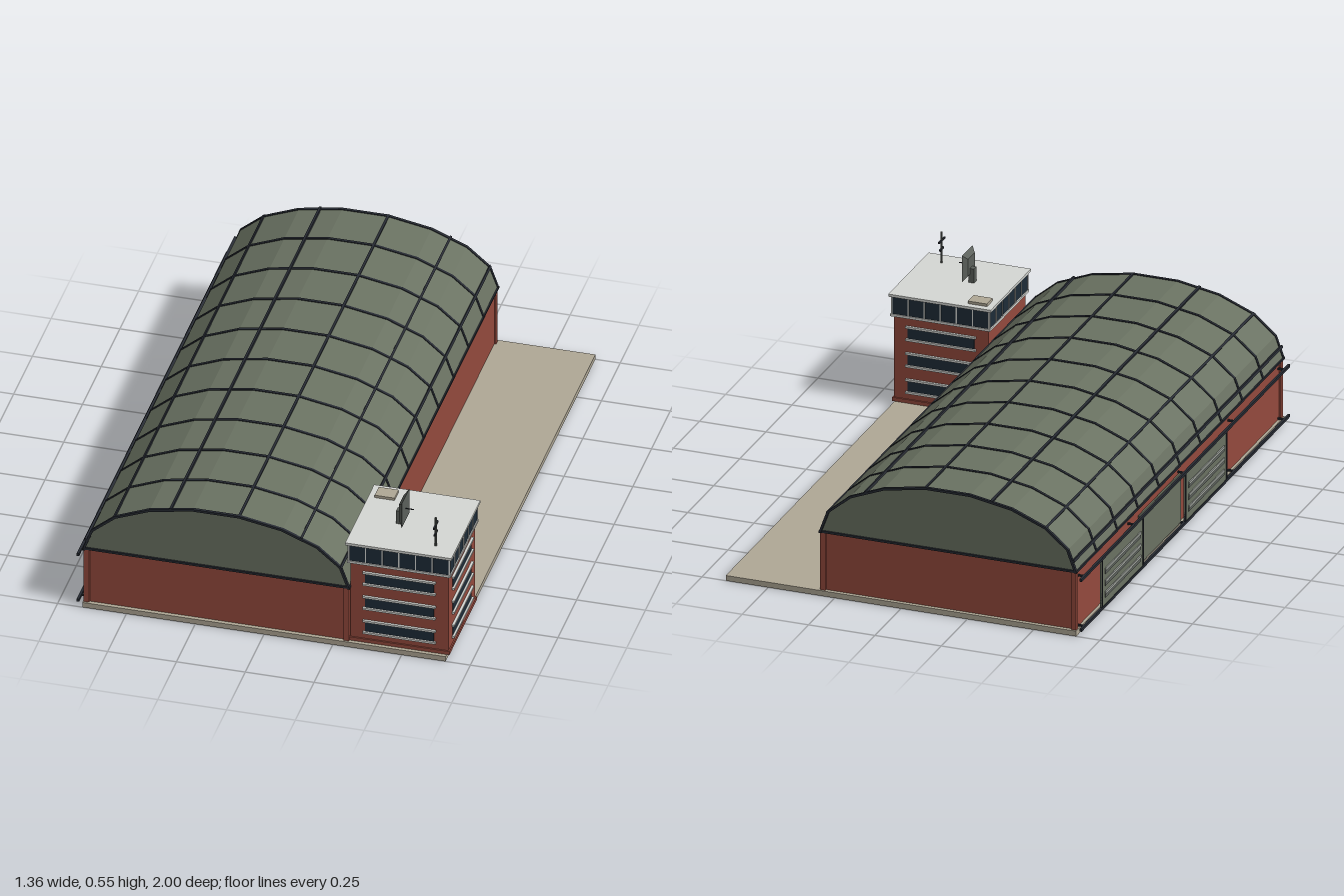
import * as THREE from 'three';

const paint = (name, color) => {
  const m = new THREE.MeshStandardMaterial({ color });
  m.name = name;
  return m;
};

export function createModel() {
  const brick = paint('red brick', 0x944a3d);
  const green = paint('green roofing', 0x6a7262);
  const dark = paint('dark frame', 0x262a32);
  const glass = paint('dark glass', 0x1e2c38);
  const concrete = paint('concrete', 0xb0a896);
  const white = paint('pale trim', 0xd6d8d4);
  const steel = paint('steel', 0x5c615c);
  const lightSteel = paint('light steel', 0x9a9e98);

  const model = new THREE.Group();
  model.name = 'hangar';

  const group = (name, parent = model) => {
    const g = new THREE.Group();
    g.name = name;
    parent.add(g);
    return g;
  };
  const add = (name, geo, mat, parent) => {
    const m = new THREE.Mesh(geo, mat);
    m.name = name;
    parent.add(m);
    return m;
  };
  // Box given by its limits on each axis
  const box = (name, [x0, x1], [y0, y1], [z0, z1], mat, parent) => {
    const m = add(name, new THREE.BoxGeometry(x1 - x0, y1 - y0, z1 - z0), mat, parent);
    m.position.set((x0 + x1) / 2, (y0 + y1) / 2, (z0 + z1) / 2);
    return m;
  };

  box('groundSlab', [-0.66, 0.66], [0, 0.02], [-1, 1], concrete, model);

  // Hall walls with corner pilasters
  const hall = group('hall');
  const CX = -0.175, EAVE = 0.245, A = 0.482, B = 0.234;
  box('hallWalls', [-0.65, 0.3], [0.02, EAVE], [-0.985, 0.985], brick, hall);
  for (const s of [-1, 1]) {
    for (const x of [-0.647, 0.297]) {
      box('cornerPilaster', [x - 0.01, x + 0.01], [0.02, EAVE], [s * 0.983 - 0.01, s * 0.983 + 0.01], brick, hall);
    }
  }

  // Arched roof: nine flat facets on a half ellipse
  const arc = (t, grow = 0) => new THREE.Vector2(
    CX + (A + grow) * Math.cos(t), EAVE + (B + grow) * Math.sin(t));
  const arch = (grow) => Array.from({ length: 10 }, (_, i) => arc((i * Math.PI) / 9, grow));
  const extrude = (shape, depth) => new THREE.ExtrudeGeometry(shape, { depth, bevelEnabled: false });
  add('archedRoof', extrude(new THREE.Shape(arch(0)), 1.98), green, hall).position.z = -0.99;

  // Ribs across the roof
  const ribShape = new THREE.Shape([...arch(0.003), ...arch(-0.006).reverse()]);
  for (let i = 0; i <= 10; i++) {
    const z = Math.max(-0.994, Math.min(0.994, -1 + i * 0.2));
    add('roofRib', extrude(ribShape, 0.011), dark, hall).position.z = z - 0.0055;
  }
  // Purlins along the roof
  for (let deg = 20; deg <= 170; deg += 30) {
    const t = THREE.MathUtils.degToRad(deg);
    const p = arc(t, -0.001);
    const m = add('roofPurlin', new THREE.BoxGeometry(0.009, 0.009, 2), dark, hall);
    m.position.set(p.x, p.y, 0);
    m.rotation.z = Math.atan2(A * Math.sin(t), B * Math.cos(t));
  }
  // Eaves and gable sills
  for (const x of [-0.656, 0.306]) {
    box('eaveTrim', [x - 0.005, x + 0.005], [0.24, 0.248], [-1, 1], dark, hall);
  }
  for (const z of [-0.991, 0.991]) {
    box('gableSill', [-0.656, 0.306], [0.24, 0.248], [z - 0.005, z + 0.005], dark, hall);
  }

  // Sliding doors and their rails on the -x side
  const doors = group('slidingDoors');
  for (const y of [0.026, 0.217]) {
    box('doorRail', [-0.681, -0.672], [y - 0.005, y + 0.005], [-1, 1], dark, doors);
    for (let z = -0.96; z < 1; z += 0.48) {
      box('railBracket', [-0.673, -0.65], [y - 0.003, y + 0.003], [z - 0.004, z + 0.004], dark, doors);
    }
  }
  [-0.6, -0.2, 0.2].forEach((z, i) => {
    const outer = i !== 1;
    const x = outer ? -0.675 : -0.66;
    box('doorPanel', [x - 0.003, x + 0.003], [0.028, 0.215], [z - 0.2, z + 0.2], green, doors);
    if (!outer) return;
    for (const y of [0.075, 0.12, 0.165]) {
      box('doorRib', [x - 0.007, x - 0.002], [y - 0.005, y + 0.005], [z - 0.17, z + 0.17], lightSteel, doors);
      box('doorRecess', [x - 0.005, x - 0.002], [y - 0.018, y - 0.005], [z - 0.17, z + 0.17], steel, doors);
    }
    for (const e of [-0.196, 0.196]) {
      box('doorEdge', [x - 0.005, x + 0.002], [0.028, 0.215], [z + e - 0.004, z + e + 0.004], dark, doors);
    }
  });

  // Control tower, built around its own centre
  const tower = group('tower');
  tower.position.set(0.487, 0, 0.803);
  const block = (name, h, y0, y1, mat) => box(name, [-h, h], [y0, y1], [-h, h], mat, tower);
  block('towerPlinth', 0.183, 0.02, 0.034, brick);
  block('towerWalls', 0.178, 0.034, 0.346, brick);
  block('lowerCornice', 0.188, 0.346, 0.355, white);
  block('lookoutGlass', 0.184, 0.355, 0.422, glass);
  block('towerRoof', 0.193, 0.422, 0.432, white);

  // Each side: mullions, and windows on the three free sides
  for (let k = 0; k < 4; k++) {
    const side = group('towerSide', tower);
    side.rotation.y = (k * Math.PI) / 2;
    for (let i = 0; i <= 6; i++) {
      const x = -0.182 + i * (0.364 / 6);
      box('mullion', [x - 0.002, x + 0.002], [0.355, 0.422], [0.18, 0.187], white, side);
    }
    if (k === 3) continue;
    for (const y of [0.085, 0.186, 0.287]) {
      box('window', [-0.125, 0.125], [y - 0.023, y + 0.023], [0.174, 0.18], glass, side);
      for (const s of [-1, 1]) {
        const yy = y + s * 0.024;
        box('windowLedge', [-0.132, 0.132], [yy - 0.004, yy + 0.004], [0.172, 0.187], white, side);
      }
    }
  }

  // Rooftop equipment
  const roofKit = group('rooftopEquipment');
  box('roofHatch', [0.318, 0.39], [0.43, 0.442], [0.635, 0.69], concrete, roofKit);
  box('dishPedestal', [0.434, 0.455], [0.432, 0.486], [0.807, 0.83], steel, roofKit);
  const dish = group('radarDish', roofKit);
  dish.position.set(0.458, 0.496, 0.822);
  const plate = add('dishPlate', new THREE.CylinderGeometry(0.071, 0.045, 0.016, 4, 1), steel, dish);
  plate.geometry.rotateY(Math.PI / 4);
  plate.geometry.rotateZ(-Math.PI / 2);
  plate.material.flatShading = true;
  const feed = add('dishFeed', new THREE.CylinderGeometry(0.002, 0.002, 0.036, 6), dark, dish);
  feed.rotation.z = Math.PI / 2;
  feed.position.x = 0.02;
  const mast = add('antennaMast', new THREE.CylinderGeometry(0.004, 0.004, 0.118, 8), steel, roofKit);
  mast.position.set(0.605, 0.491, 0.93);
  for (const [y, half] of [[0.518, 0.028], [0.485, 0.018]]) {
    box('antennaArm', [0.602, 0.608], [y - 0.003, y + 0.003], [0.93 - half, 0.93 + half], dark, roofKit);
  }

  return model;
}
